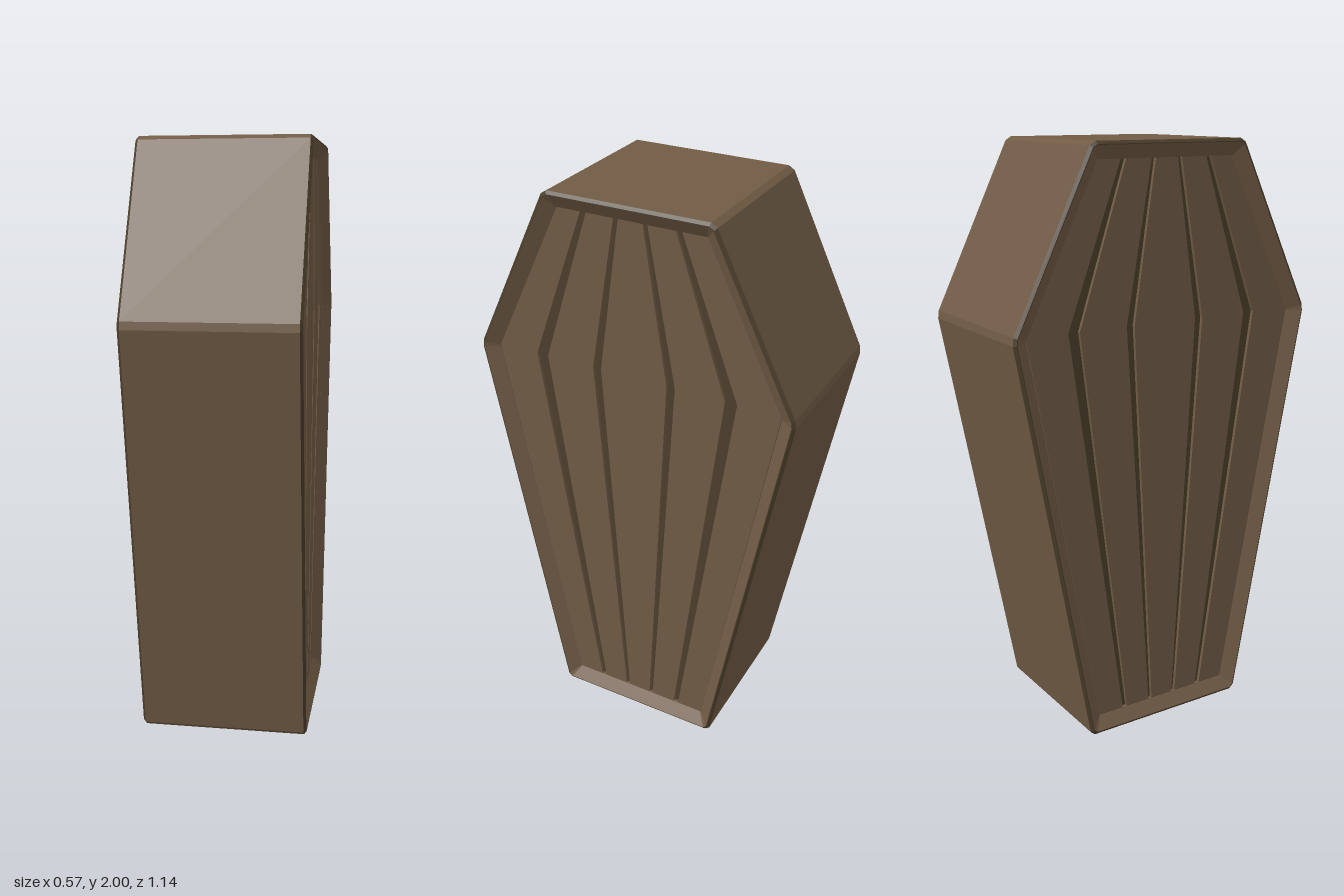
import * as THREE from 'three';

const wood = new THREE.MeshStandardMaterial({ color: 0x705b45, flatShading: true });
const dark = new THREE.MeshStandardMaterial({ color: 0x4b3e2c, flatShading: true });

// Six-sided outline in (z, y), counter-clockwise
const outline = [[-0.308, 0], [0.308, 0], [0.573, 1.42], [0.29, 2], [-0.29, 2], [-0.573, 1.42]]
  .map(([z, y]) => new THREE.Vector2(z, y));

// Outline moved inward by `inset`, each corner cut back by `cut`
function ring(inset, cut) {
  const n = outline.length;
  const dir = outline.map((p, i) => outline[(i + 1) % n].clone().sub(p).normalize());
  const corners = outline.map((p, i) => {
    const d0 = dir[(i + n - 1) % n], d1 = dir[i];
    const n0 = new THREE.Vector2(-d0.y, d0.x), n1 = new THREE.Vector2(-d1.y, d1.x);
    return p.clone().addScaledVector(n0.clone().add(n1), inset / (1 + n0.dot(n1)));
  });
  return corners.flatMap((p, i) => [
    p.clone().addScaledVector(dir[(i + n - 1) % n], -cut),
    p.clone().addScaledVector(dir[i], cut),
  ]);
}

// Faceted band joining successive sections { x, pts }
function band(name, sections, material) {
  const pos = [];
  for (let s = 0; s < sections.length - 1; s++) {
    const A = sections[s], B = sections[s + 1], n = A.pts.length;
    for (let i = 0; i < n; i++) {
      const j = (i + 1) % n;
      const at = (S, k) => [S.x, S.pts[k].y, S.pts[k].x];
      pos.push(...at(A, i), ...at(B, i), ...at(B, j), ...at(A, i), ...at(B, j), ...at(A, j));
    }
  }
  const g = new THREE.BufferGeometry();
  g.setAttribute('position', new THREE.Float32BufferAttribute(pos, 3));
  g.computeVertexNormals();
  return named(name, g, material);
}

function named(name, geometry, material) {
  const m = new THREE.Mesh(geometry, material);
  m.name = name;
  return m;
}

// Recessed, planked face looking along +x
function createFace(name) {
  const face = new THREE.Group();
  face.name = name;
  const edge = ring(0, 0.014), lip = ring(0.009, 0.011), lipInner = ring(0.012, 0.01);
  const inner = ring(0.055, 0.002);

  face.add(band('rim', [{ x: 0.276, pts: edge }, { x: 0.285, pts: lip }, { x: 0.285, pts: lipInner }], dark));
  face.add(band('frameSlope', [{ x: 0.285, pts: lipInner }, { x: 0.255, pts: inner }, { x: 0.243, pts: inner }], wood));

  // Dark backing seen through the gaps
  const backing = new THREE.ShapeGeometry(new THREE.Shape(inner)).rotateY(Math.PI / 2).translate(0.243, 0, 0);
  face.add(named('backing', backing, dark));

  // Gaps: centre and half width at bottom, shoulder and top
  const rows = [0.055, 1.42, 1.945];
  const gaps = [
    { c: [0.05, 0.135, 0.05], h: [0.007, 0.015, 0.008] },
    { c: [0.157, 0.345, 0.163], h: [0.009, 0.021, 0.01] },
  ];
  const side = (g, s) => g.c.map((c, i) => c + s * g.h[i]);
  const neg = (a) => a.map((v) => -v);
  const border = [0.262, 0.515, 0.256];
  const planks = [
    [neg(side(gaps[0], -1)), side(gaps[0], -1)],
    [side(gaps[0], 1), side(gaps[1], -1)],
    [side(gaps[1], 1), border],
  ];
  planks.push(...planks.slice(1).map(([a, b]) => [neg(b), neg(a)]));
  for (const [a, b] of planks) {
    const shape = new THREE.Shape([
      ...rows.map((y, i) => new THREE.Vector2(b[i], y)),
      ...rows.map((y, i) => new THREE.Vector2(a[i], y)).reverse(),
    ]);
    const g = new THREE.ExtrudeGeometry(shape, { depth: 0.012, bevelEnabled: false });
    face.add(named('plank', g.rotateY(Math.PI / 2).translate(0.243, 0, 0), wood));
  }
  return face;
}

export function createModel() {
  const model = new THREE.Group();
  model.name = 'coffin';

  // Outer walls
  const edge = ring(0, 0.014);
  model.add(band('walls', [{ x: -0.276, pts: edge }, { x: 0.276, pts: edge }], wood));

  // Matching faces on both sides
  const left = createFace('leftFace');
  const right = createFace('rightFace');
  right.rotation.y = Math.PI;
  model.add(left, right);
  return model;
}
